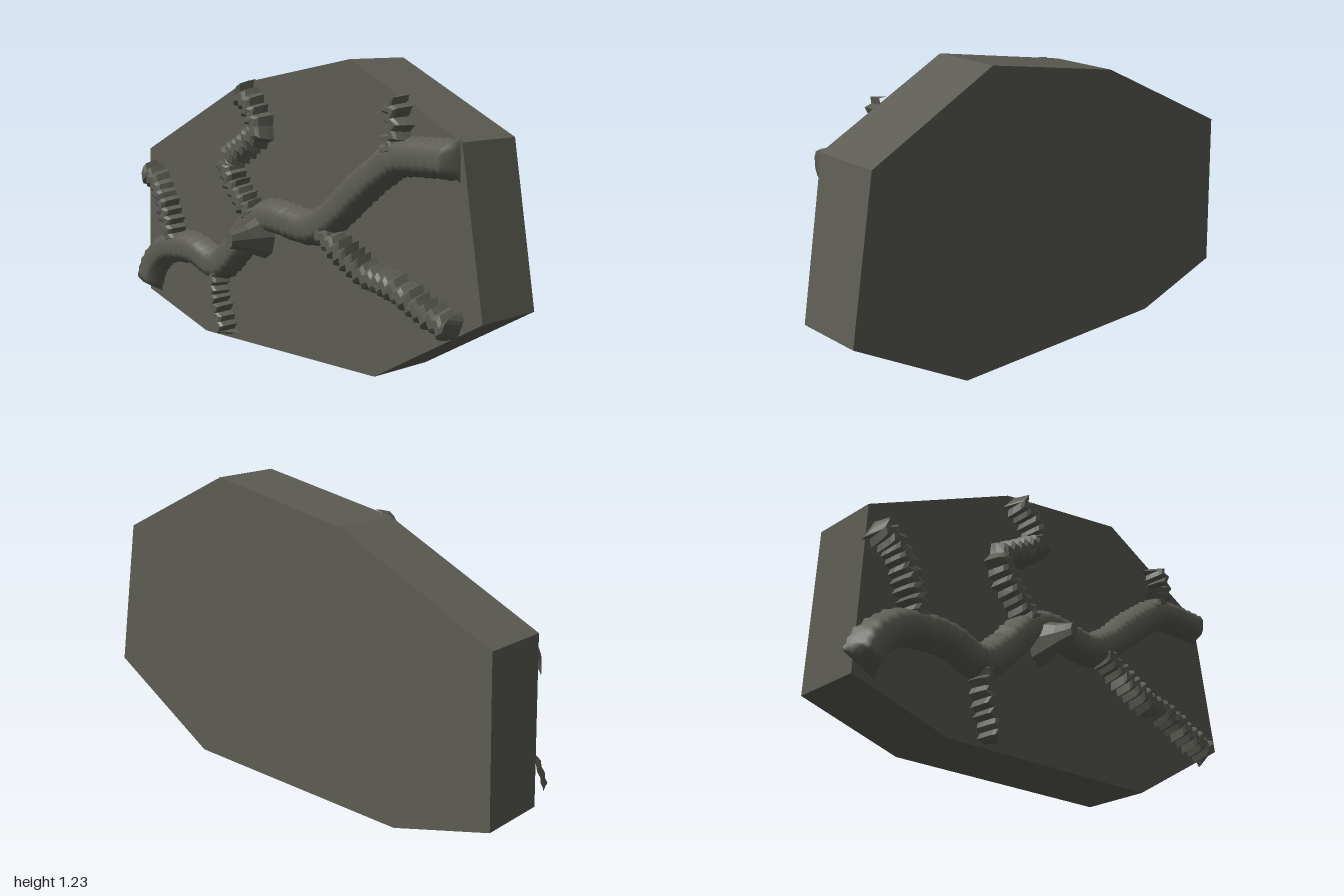
import * as THREE from 'three';

const FACE = 0.04; // z of the slab's front face
const rock = new THREE.MeshStandardMaterial({ color: 0x5c5c54, roughness: 0.9, flatShading: true });
const smoothRock = new THREE.MeshStandardMaterial({ color: 0x5c5c54, roughness: 0.9 });

// small seeded generator for the broken rock edges
function seeded(seed) {
  return () => (seed = (seed * 16807) % 2147483647) / 2147483647;
}

// raised ridge: a rounded trapezoid section swept along a path on the slab
function ridge(name, points, width, rough, seed, material) {
  const rand = seeded(seed);
  const curve = new THREE.CatmullRomCurve3(points.map(([x, y]) => new THREE.Vector3(x, y, 0)), false, 'centripetal');
  const section = [[-1, -0.1], [-0.86, 0.35], [-0.62, 0.86], [-0.3, 1], [0.3, 1], [0.62, 0.86], [0.86, 0.35], [1, -0.1]];
  const steps = Math.round(curve.getLength() / 0.02);
  const pos = [], index = [], n = section.length;
  for (let i = 0; i <= steps; i++) {
    const end = i === 0 || i === steps;
    const p = curve.getPointAt(i / steps), t = curve.getTangentAt(i / steps);
    // alternate rings step sideways to make the jagged teeth
    const shift = ((i % 2) - 0.5) * rough + (rand() - 0.5) * rough * 0.6;
    const half = width * (1 + (rand() - 0.5) * rough * 6);
    const height = end ? 0.02 : 0.077 - rand() * rough * 0.25;
    for (const [u, h] of section) {
      const s = u * half + shift;
      pos.push(p.x - t.y * s, p.y + t.x * s, FACE + h * height);
    }
  }
  for (let i = 0; i < steps; i++) {
    for (let j = 0; j < n - 1; j++) {
      const a = i * n + j, b = a + n;
      index.push(a, b, b + 1, a, b + 1, a + 1);
    }
  }
  // end caps
  const last = steps * n;
  for (let j = 1; j < n - 1; j++) index.push(0, j, j + 1, last, last + j + 1, last + j);
  const geo = new THREE.BufferGeometry();
  geo.setAttribute('position', new THREE.Float32BufferAttribute(pos, 3));
  geo.setIndex(index);
  geo.computeVertexNormals();
  const mesh = new THREE.Mesh(geo, material);
  mesh.name = name;
  return mesh;
}

export function createModel() {
  const group = new THREE.Group();
  group.name = 'rockSlab';

  // eight-sided slab
  const outline = [[-1, 0.12], [-0.57, 0], [0.48, 0.03], [1, 0.335], [0.89, 0.96], [0.335, 1.23], [-0.3, 1.115], [-0.98, 0.785]];
  const shape = new THREE.Shape(outline.map(([x, y]) => new THREE.Vector2(x, y)));
  const slabGeo = new THREE.ExtrudeGeometry(shape, { depth: FACE + 0.25, bevelEnabled: false });
  slabGeo.translate(0, 0, -0.25);
  const slab = new THREE.Mesh(slabGeo, rock);
  slab.name = 'slab';
  group.add(slab);

  // main ridge running across the slab
  group.add(ridge('mainRidge', [
    [-0.975, 0.16], [-0.92, 0.27], [-0.82, 0.345], [-0.72, 0.365], [-0.6, 0.365], [-0.45, 0.325], [-0.34, 0.4],
    [-0.2, 0.54], [-0.1, 0.58], [0.03, 0.57], [0.15, 0.565], [0.27, 0.63], [0.4, 0.74], [0.52, 0.83], [0.6, 0.88],
    [0.75, 0.895], [0.885, 0.895],
  ], 0.075, 0.006, 11, smoothRock));

  // jagged side branches
  const branches = [
    ['upperLeftBranch', [[-0.965, 0.695], [-0.88, 0.65], [-0.83, 0.58], [-0.79, 0.5], [-0.75, 0.38]], 0.055],
    ['topBranch', [[-0.285, 1.095], [-0.2, 1.02], [-0.155, 0.94], [-0.25, 0.86], [-0.355, 0.79], [-0.32, 0.7], [-0.25, 0.62], [-0.18, 0.56]], 0.055],
    ['upperRightBranch', [[0.575, 1.1], [0.615, 1.02], [0.6, 0.95], [0.55, 0.86]], 0.04],
    ['lowerRightBranch', [[0.2, 0.57], [0.32, 0.505], [0.45, 0.44], [0.6, 0.405], [0.75, 0.35], [0.9, 0.295]], 0.055],
    ['bottomBranch', [[-0.43, 0.32], [-0.44, 0.2], [-0.41, 0.12], [-0.38, 0.025]], 0.035],
  ];
  branches.forEach(([name, path, width], i) => group.add(ridge(name, path, width, 0.022, 101 + i * 977, rock)));

  // blunt spike standing out from the middle of the main ridge
  const profile = [[0.1, 0.06], [0.078, 0.118], [0.055, 0.17], [0.04, 0.22], [0.033, 0.25], [0, 0.25]];
  const spikeGeo = new THREE.LatheGeometry(profile.map(([r, h]) => new THREE.Vector2(r, h)), 8);
  spikeGeo.rotateX(Math.PI / 2);
  spikeGeo.scale(0.6, 1, 1);
  const spike = new THREE.Mesh(spikeGeo, rock);
  spike.name = 'spike';
  spike.position.set(-0.135, 0.498, 0);
  group.add(spike);

  return group;
}
